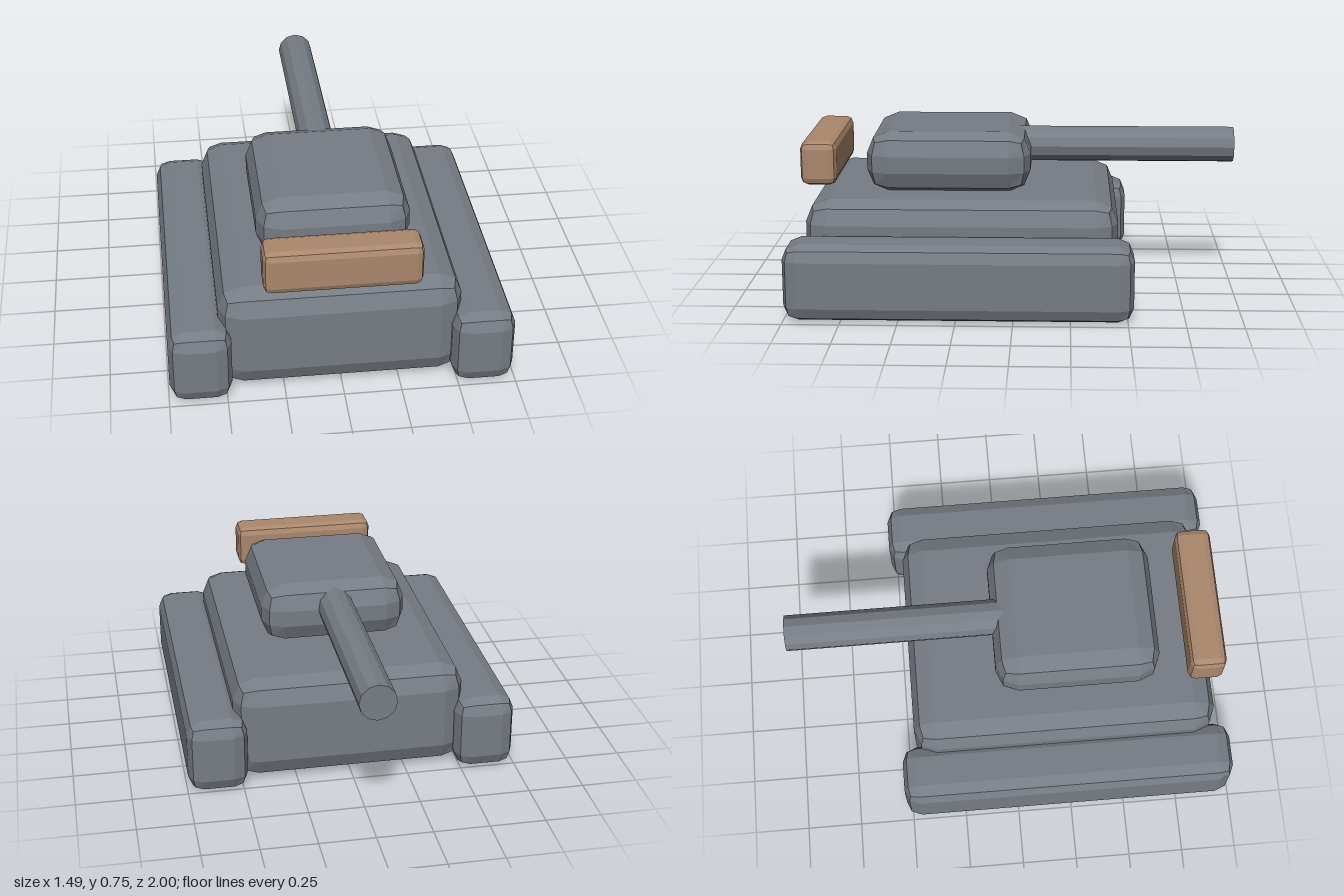
import * as THREE from 'three';
import { RoundedBoxGeometry } from 'three/addons/geometries/RoundedBoxGeometry.js';

export function createModel() {
  const model = new THREE.Group();
  model.name = 'tank';

  const steel = new THREE.MeshStandardMaterial({ color: 0x777d85 });
  steel.name = 'steel grey';
  const tan = new THREE.MeshStandardMaterial({ color: 0xab886e });
  tan.name = 'tan';

  // Faceted block with two-step bevels, given by its min and max corners
  function block(name, min, max, bevel, material) {
    const size = max.map((v, i) => v - min[i]);
    const geometry = new RoundedBoxGeometry(...size, 1, bevel);
    geometry.computeVertexNormals(); // unshared vertices, so each facet is flat
    const mesh = new THREE.Mesh(geometry, material);
    mesh.name = name;
    mesh.position.set(...max.map((v, i) => (v + min[i]) / 2));
    model.add(mesh);
    return mesh;
  }

  // Hull and turret
  block('hull', [-0.525, 0.005, -0.46], [0.525, 0.48, 0.93], 0.1, steel);
  block('turret', [-0.335, 0.475, -0.067], [0.335, 0.75, 0.675], 0.1, steel);

  // Tracks
  for (const side of [-1, 1]) {
    const x = side * 0.61;
    block(side > 0 ? 'leftTrack' : 'rightTrack',
      [x - 0.135, 0, -0.525], [x + 0.135, 0.34, 1], 0.067, steel);
  }

  // Floating bar at the front
  block('frontBar', [-0.336, 0.517, 0.805], [0.336, 0.715, 0.967], 0.033, tan);

  // Gun barrel, twelve flat sides, running out over the back
  const barrelGeometry = new THREE.CylinderGeometry(0.082, 0.082, 1.2, 12)
    .rotateX(-Math.PI / 2).toNonIndexed();
  barrelGeometry.computeVertexNormals();
  const barrel = new THREE.Mesh(barrelGeometry, steel);
  barrel.name = 'gunBarrel';
  barrel.position.set(0, 0.65, -0.4);
  model.add(barrel);

  return model;
}
